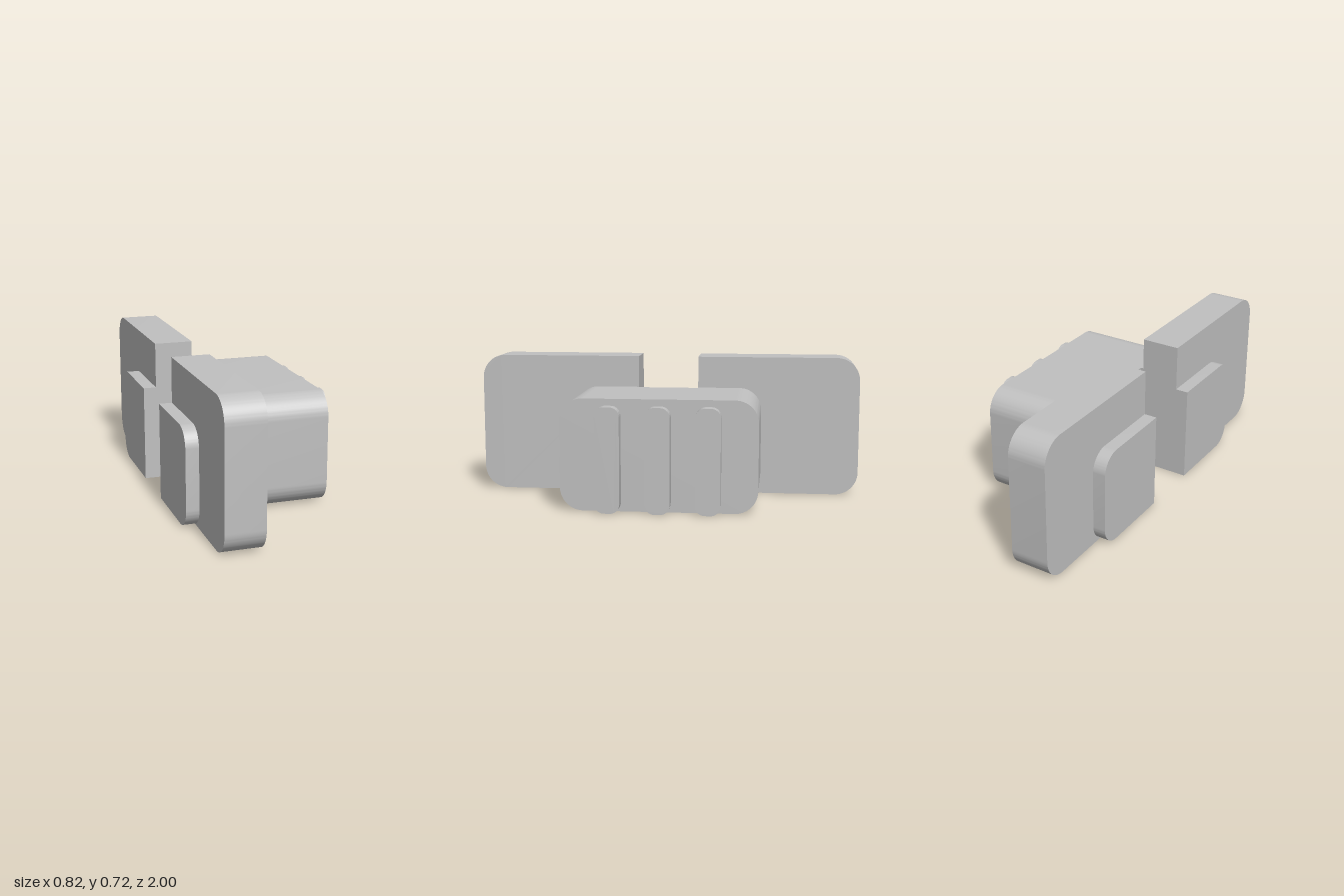
import * as THREE from 'three';
import { toCreasedNormals } from 'three/addons/utils/BufferGeometryUtils.js';

const grey = new THREE.MeshStandardMaterial({ color: 0xc0c0c0 });
grey.name = 'grey';

// Rectangle standing on y = 0 with rounded right corners (ro) and left corners (ri)
function outline(u0, u1, h, ro, ri) {
  const s = new THREE.Shape();
  const corner = (cx, cy, r, a) => {
    if (r > 0) s.absarc(cx, cy, r, a, a + Math.PI / 2, false);
    else s.lineTo(cx, cy);
  };
  s.moveTo(u0 + ri, 0);
  corner(u1 - ro, ro, ro, -Math.PI / 2);
  corner(u1 - ro, h - ro, ro, 0);
  corner(u0 + ri, h - ri, ri, Math.PI / 2);
  corner(u0 + ri, ri, ri, Math.PI);
  return s;
}

// Slab with its outline in the z-y plane, running from x0 to x1
function slab(name, shape, x0, x1) {
  const g = new THREE.ExtrudeGeometry(shape, { depth: x1 - x0, bevelEnabled: false, curveSegments: 12 });
  g.rotateY(Math.PI / 2).translate(x0, 0, 0);
  const mesh = new THREE.Mesh(toCreasedNormals(g, 0.5), grey);
  mesh.name = name;
  return mesh;
}

export function createModel() {
  const model = new THREE.Group();
  model.name = 'slidingGrip';

  // Grip block
  model.add(slab('gripBlock', outline(-0.49, 0.49, 0.56, 0.115, 0.115), -0.135, 0.35));

  // Finger ribs on the outer face
  for (const z of [-0.247, 0, 0.247]) {
    model.add(slab('gripRib', outline(z - 0.062, z + 0.062, 0.526, 0.048, 0.048), 0.35, 0.41));
  }

  // Two wings either side of the central slot
  for (const side of [1, -1]) {
    const half = (end, h, r) => side > 0
      ? outline(0.157, end, h, r, 0)
      : outline(-end, -0.157, h, 0, r);
    const wing = new THREE.Group();
    wing.name = side > 0 ? 'backWing' : 'frontWing';
    wing.add(
      slab('blockEdge', half(0.49, 0.56, 0.115), -0.15, -0.135), // shallow slot cut in the block
      slab('wingPlate', half(1, 0.723, 0.12), -0.345, -0.15),
      slab('wingPad', half(0.622, 0.492, 0.1), -0.41, -0.345),
    );
    model.add(wing);
  }
  return model;
}
